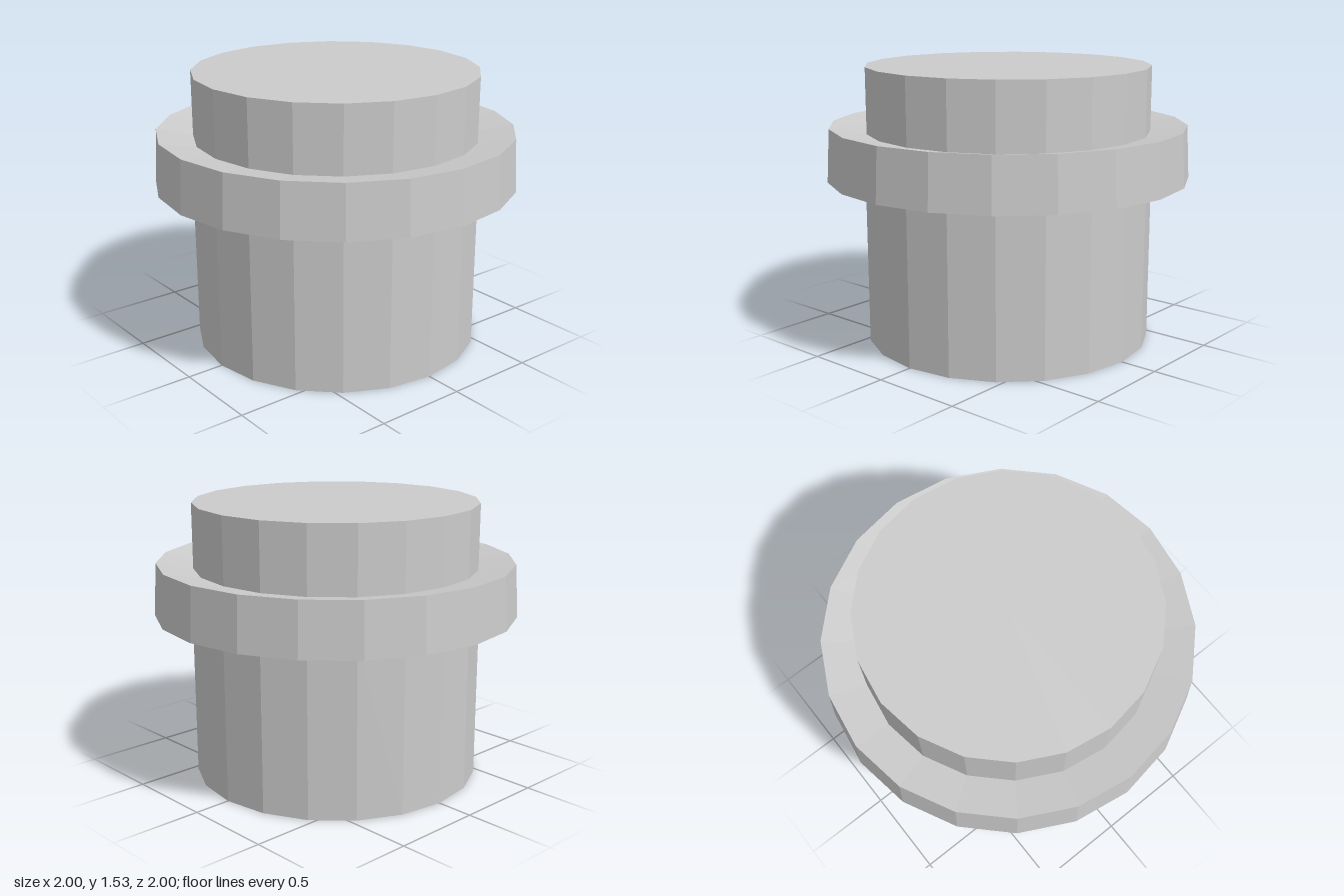
import * as THREE from 'three';

const SIDES = 20;

const material = new THREE.MeshStandardMaterial({
  color: 0xcccccc,
  flatShading: true,
  side: THREE.DoubleSide,
});

// Faceted thin shell turned from [radius, height] pairs, listed bottom to top
function turned(name, profile) {
  const points = profile.map(([r, y]) => new THREE.Vector2(r, y));
  const mesh = new THREE.Mesh(new THREE.LatheGeometry(points, SIDES), material);
  mesh.name = name;
  return mesh;
}

export function createModel() {
  const group = new THREE.Group();
  group.name = 'flangedCap';

  // Hollow body, open at the bottom
  group.add(turned('body', [[0.795, 0], [0.795, 0.94]]));

  // Tapered collar whose upper and lower faces dip slightly
  group.add(turned('collar', [[0.795, 0.94], [1, 0.915], [0.984, 1.205], [0.783, 1.17]]));

  // Closed crown on top
  group.add(turned('crown', [[0.783, 1.17], [0.783, 1.53], [0, 1.53]]));

  return group;
}
